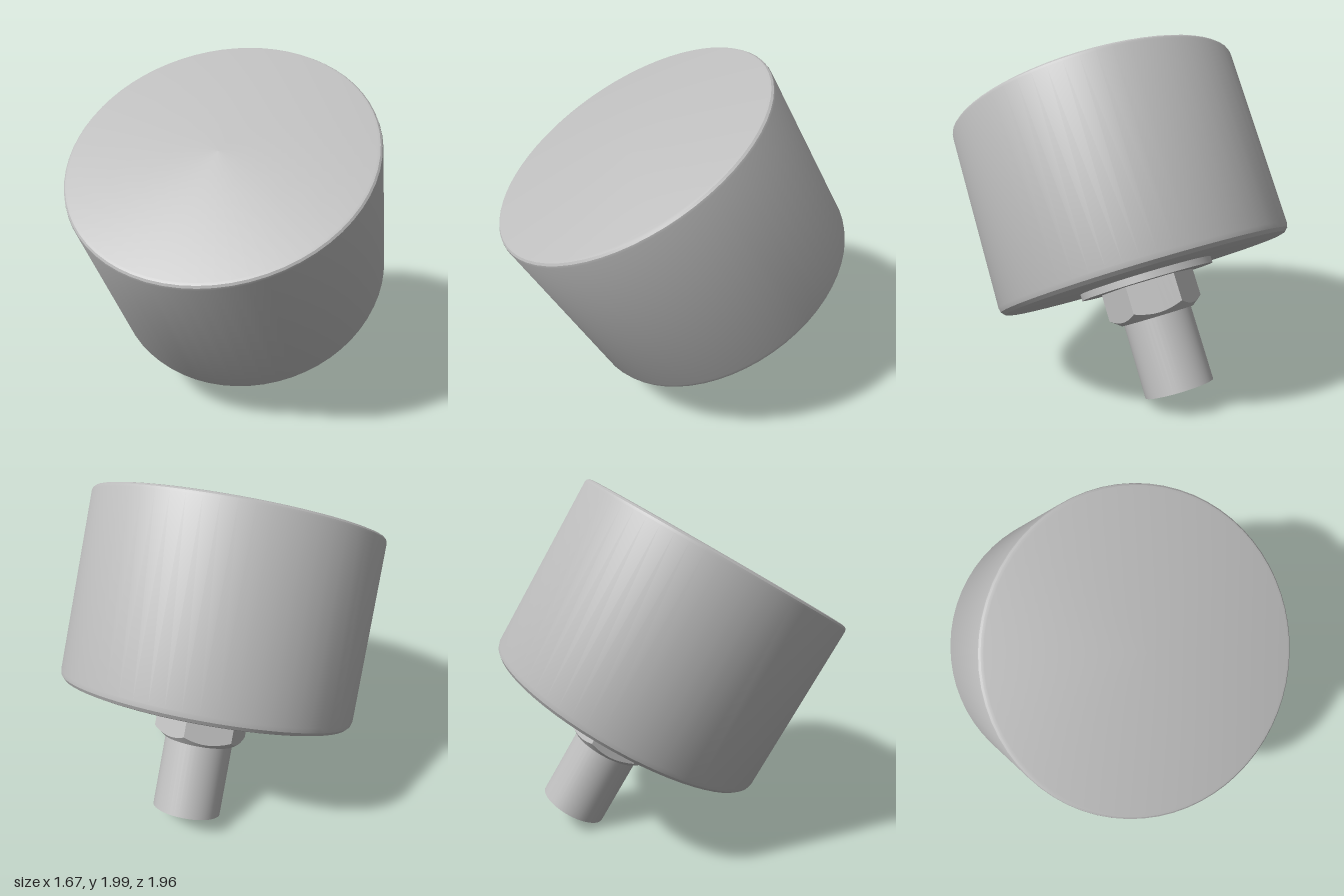
import * as THREE from 'three';
import { toCreasedNormals } from 'three/addons/utils/BufferGeometryUtils.js';

const CREASE = Math.PI / 7;

export function createModel() {
  const model = new THREE.Group();
  model.name = 'roundHeadStud';
  const grey = new THREE.MeshStandardMaterial({ color: 0xbcbcbc });
  grey.name = 'plainGrey';

  // everything is turned around one axis, starting at the stem's free end
  const axis = new THREE.Group();
  axis.name = 'tiltedAxis';
  axis.position.set(0, 0.0975, -0.595);
  axis.rotation.x = Math.PI / 6;
  model.add(axis);

  const add = (name, geometry) => {
    const mesh = new THREE.Mesh(toCreasedNormals(geometry, CREASE), grey);
    mesh.name = name;
    axis.add(mesh);
  };
  const turned = (points, segments) =>
    new THREE.LatheGeometry(points.map(([r, y]) => new THREE.Vector2(r, y)), segments);

  // drum with a rounded lower rim and a finer upper rim
  const R = 0.836, bottom = 0.647, top = 1.717;
  const profile = [[0, bottom]];
  const rim = (radius, y, from) => {
    for (let i = 0; i <= 3; i++) {
      const a = from + (i / 3) * Math.PI / 2;
      profile.push([R - radius + radius * Math.cos(a), y + radius * Math.sin(a)]);
    }
  };
  rim(0.05, bottom + 0.05, -Math.PI / 2);
  rim(0.026, top - 0.026, 0);
  profile.push([0, top]);
  add('drum', turned(profile, 64));

  // flat washer under the drum
  add('washer', turned([[0, 0.61], [0.383, 0.61], [0.383, 0.655], [0, 0.655]], 64));

  // hexagonal nut: outer rings pushed to a hexagon, chamfer follows a cone
  const cornerRadius = 0.268, chamferRadius = 0.208, nutBottom = 0.413;
  const nut = turned([[0.15, nutBottom], [chamferRadius, nutBottom], [1, 0.5], [1, 0.62]], 48);
  const pos = nut.attributes.position;
  const v = new THREE.Vector3();
  for (let i = 0; i < pos.count; i++) {
    v.fromBufferAttribute(pos, i);
    if (v.y < 0.45) continue;
    const angle = Math.atan2(v.x, v.z) + Math.PI * 2;
    const r = cornerRadius * Math.cos(Math.PI / 6) / Math.cos(angle % (Math.PI / 3) - Math.PI / 6);
    const y = v.y < 0.55 ? nutBottom + (r - chamferRadius) * 0.75 : v.y;
    pos.setXYZ(i, r * Math.sin(angle), y, r * Math.cos(angle));
  }
  add('hexNut', nut);

  // plain round stem
  add('stem', turned([[0, 0], [0.195, 0], [0.195, 0.63], [0, 0.63]], 48));

  return model;
}
